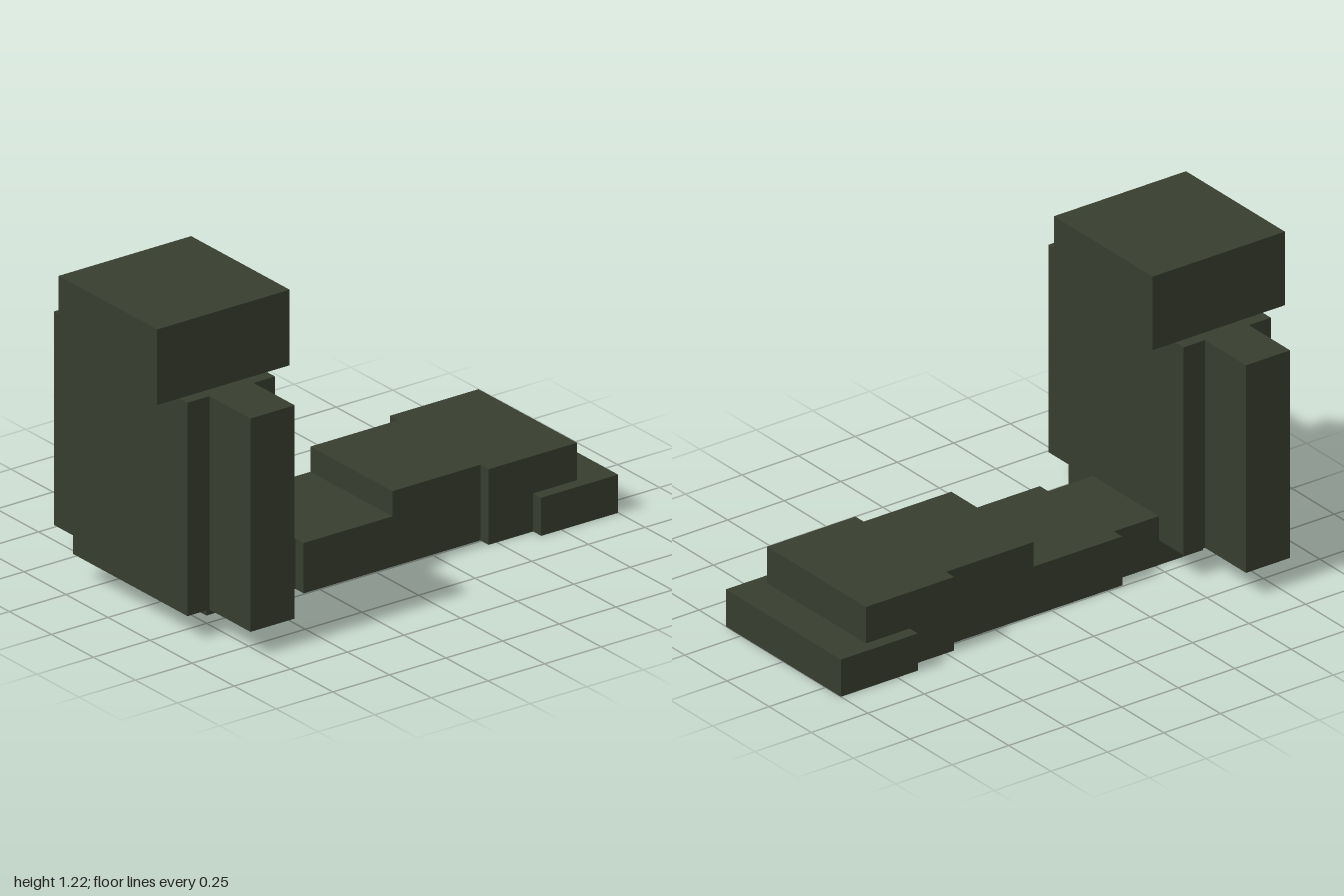
import * as THREE from 'three';

export function createModel() {
  const model = new THREE.Group();
  model.name = 'blockFigure';

  const darkOlive = new THREE.MeshStandardMaterial({ color: 0x373d2f });
  darkOlive.name = 'darkOlive';

  // Box given by its x, y and z ranges
  function block(name, [x0, x1], [y0, y1], [z0, z1]) {
    const mesh = new THREE.Mesh(new THREE.BoxGeometry(x1 - x0, y1 - y0, z1 - z0), darkOlive);
    mesh.position.set((x0 + x1) / 2, (y0 + y1) / 2, (z0 + z1) / 2);
    mesh.name = name;
    model.add(mesh);
  }

  // Upright body
  block('head', [-0.293, 0.293], [0.927, 1.22], [0.415, 1]);
  block('torso', [-0.341, 0.341], [0.1, 0.927], [0.515, 0.902]);
  block('leftArm', [0.341, 0.585], [0.1, 0.927], [0.61, 0.805]);
  block('rightArm', [-0.585, -0.341], [0.1, 0.927], [0.61, 0.805]);

  // Tail lying on the ground, widening in steps towards the back
  block('tailRoot', [-0.195, 0.195], [0, 0.195], [0.317, 0.71]);
  block('tailFront', [-0.244, 0.244], [0, 0.195], [-0.075, 0.317]);
  block('tailMiddle', [-0.244, 0.244], [0, 0.293], [-0.463, -0.075]);
  block('tailRear', [-0.293, 0.293], [0, 0.293], [-0.854, -0.463]);
  block('tailTip', [-0.341, 0.341], [0, 0.148], [-1, -0.66]);

  return model;
}
